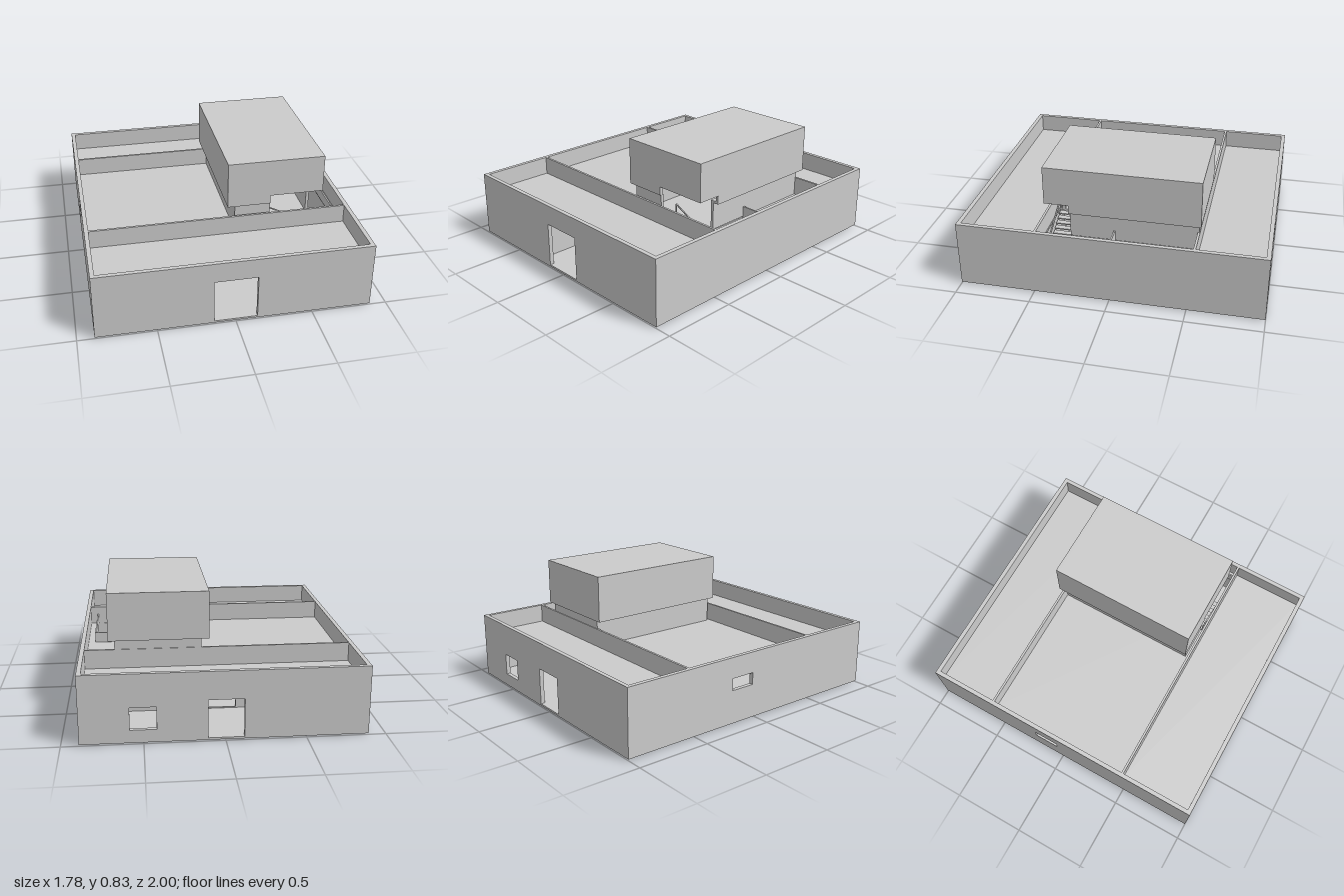
import * as THREE from 'three';

const material = new THREE.MeshStandardMaterial({ color: 0xcccccc, flatShading: true });

const rect = (u0, v0, u1, v1) => [[u0, v0], [u1, v0], [u1, v1], [u0, v1]];
const toPoints = (list) => list.map(([u, v]) => new THREE.Vector2(u, v));

// Flat panel of given thickness with cut-outs
function panel(outline, holes, depth) {
  const shape = new THREE.Shape(toPoints(outline));
  holes.forEach((h) => shape.holes.push(new THREE.Path(toPoints(h))));
  return new THREE.ExtrudeGeometry(shape, { depth, bevelEnabled: false });
}

export function createModel() {
  const root = new THREE.Group();
  const group = (name) => {
    const g = new THREE.Group();
    g.name = name;
    root.add(g);
    return g;
  };
  const add = (parent, name, geometry) => {
    const mesh = new THREE.Mesh(geometry, material);
    mesh.name = name;
    parent.add(mesh);
    return mesh;
  };
  // Wall across x, outline in (x, y)
  const wallX = (parent, name, outline, z0, z1, holes = []) =>
    add(parent, name, panel(outline, holes, z1 - z0).translate(0, 0, z0));
  // Wall along z, outline in (z, y)
  const wallZ = (parent, name, outline, x0, x1, holes = []) =>
    add(parent, name, panel(outline, holes, x1 - x0).rotateY(-Math.PI / 2).translate(x1, 0, 0));
  // Horizontal slab, outline in (x, z)
  const slab = (parent, name, outline, y0, y1, holes = []) =>
    add(parent, name, panel(outline, holes, y1 - y0).rotateX(Math.PI / 2).translate(0, y1, 0));
  const box = (parent, name, x0, x1, y0, y1, z0, z1) =>
    add(parent, name, new THREE.BoxGeometry(x1 - x0, y1 - y0, z1 - z0)
      .translate((x0 + x1) / 2, (y0 + y1) / 2, (z0 + z1) / 2));
  // Thin square bar between two points
  const bar = (parent, name, a, b, size = 0.008) => {
    const p = new THREE.Vector3(...a), q = new THREE.Vector3(...b);
    const mesh = add(parent, name, new THREE.BoxGeometry(size, size, p.distanceTo(q)));
    mesh.position.copy(p).add(q).multiplyScalar(0.5);
    mesh.lookAt(q);
  };

  // Ground storey with outer walls rising above the flat roof
  const base = 0.012, floor = 0.025, roof = 0.316, deck = 0.33, top = 0.455;
  const X = 0.89, t = 0.028;
  const ground = group('groundStorey');
  slab(ground, 'floorSlab', rect(-X + t, -1 + t, X - t, 1 - t), base, floor);
  wallX(ground, 'frontWall', rect(-X, base, X, top), 1 - t, 1, [rect(-0.14, floor, 0.14, 0.32)]);
  wallX(ground, 'backWall', rect(-X, base, X, top), -1, -1 + t,
    [rect(-0.115, floor, 0.108, 0.272), rect(0.42, 0.095, 0.583, 0.24)]);
  wallZ(ground, 'rightWall', rect(-1 + t, base, 1 - t, top), -X, -X + t, [rect(-0.2, 0.235, -0.03, 0.315)]);
  wallZ(ground, 'leftWall', rect(-1 + t, base, 1 - t, top), X - t, X);

  // Cross walls and partition
  const inner = rect(-X + t, floor, X - t, top);
  wallX(ground, 'frontCrossWall', inner, 0.472, 0.487, [rect(0.07, 0.11, 0.24, 0.245)]);
  wallX(ground, 'backCrossWall', inner, -0.545, -0.53, [rect(-0.115, 0.03, 0.2, 0.272)]);
  box(ground, 'hallPartition', -0.265, -0.25, floor, roof, 0.487, 1 - t);

  // Flat roofs; the middle one has an L-shaped stair opening
  const stairwell = [[0.35, 0.3], [0.66, 0.3], [0.66, 0.01], [0.812, 0.01], [0.812, 0.468], [0.35, 0.468]];
  slab(ground, 'frontRoof', rect(-X + t, 0.487, X - t, 1 - t), roof, deck);
  slab(ground, 'middleRoof', rect(-X + t, -0.53, X - t, 0.472), roof, deck, [stairwell]);
  slab(ground, 'backRoof', rect(-X + t, -1 + t, X - t, -0.545), roof, deck);

  // Recessed lower part of the upper storey, open at the stair corner
  const eave = 0.515, lintel = 0.573, peak = 0.83;
  const recess = group('recessedWalls');
  box(recess, 'frontWall', 0.11, 0.35, deck, eave, 0.43, 0.45);
  box(recess, 'backWall', 0.11, 0.67, deck, eave, -0.54, -0.52);
  box(recess, 'rightWall', 0.11, 0.13, deck, eave, -0.52, 0.43);
  box(recess, 'leftWall', 0.65, 0.67, deck, eave, -0.52, 0.3);

  // Overhanging upper volume with the lower corner cut away above the stair
  const upper = group('upperStorey');
  const x0 = 0.06, x1 = 0.71, z0 = -0.555, z1 = 0.46, w = 0.02;
  wallX(upper, 'frontWall',
    [[x0, eave], [0.35, eave], [0.35, lintel], [x1, lintel], [x1, peak], [x0, peak]], z1 - w, z1);
  wallZ(upper, 'leftWall',
    [[z0, eave], [0.3, eave], [0.3, lintel], [z1 - w, lintel], [z1 - w, peak], [z0, peak]], x1 - w, x1);
  wallZ(upper, 'rightWall', rect(z0, eave, z1 - w, peak), x0, x0 + w);
  wallX(upper, 'backWall', rect(x0 + w, eave, x1 - w, peak), z0, z0 + w);
  slab(upper, 'roof', rect(x0 + w, z0 + w, x1 - w, z1 - w), peak - w, peak);
  slab(upper, 'soffitRight', rect(x0 + w, z0 + w, 0.13, z1 - w), eave, eave + 0.015);
  slab(upper, 'soffitLeft', rect(0.65, z0 + w, x1 - w, 0.3), eave, eave + 0.015);

  // Quarter-turn staircase with landing, stringers and handrails
  const stair = group('staircase');
  const steps = 8, rise = (deck - floor) / (2 * steps + 2), landing = floor + rise * (steps + 1);
  for (let i = 0; i < steps; i++) {
    const y = floor + rise * (i + 1), z = 0.11 + i * 0.024;
    box(stair, 'lowerTread', 0.65, 0.8, y - 0.008, y, z, z + 0.025);
    const y2 = landing + rise * (i + 1), x = 0.65 - i * 0.0375;
    box(stair, 'upperTread', x - 0.0385, x, y2 - 0.008, y2, 0.31, 0.465);
  }
  box(stair, 'landing', 0.65, 0.805, landing - 0.012, landing, 0.302, 0.465);
  [0.65, 0.79].forEach((x) => {
    bar(stair, 'lowerStringer', [x, 0.007, 0.12], [x, landing - 0.012, 0.31]);
    bar(stair, 'lowerHandrail', [x, floor + 0.09, 0.11], [x, landing + 0.08, 0.305]);
  });
  [0.314, 0.461].forEach((z) => {
    bar(stair, 'upperStringer', [0.65, landing - 0.012, z], [0.35, deck - 0.02, z]);
    bar(stair, 'upperHandrail', [0.65, landing + 0.08, z], [0.35, deck + 0.08, z]);
    bar(stair, 'railPost', [0.65, landing, z], [0.65, landing + 0.08, z]);
    bar(stair, 'railPost', [0.35, deck, z], [0.35, deck + 0.08, z]);
  });

  // Low guard wall round the open side of the stairwell
  box(stair, 'guardSide', 0.805, 0.815, deck, 0.4, 0.01, 0.472);
  box(stair, 'guardBack', 0.67, 0.805, deck, 0.4, 0.002, 0.012);
  return root;
}
